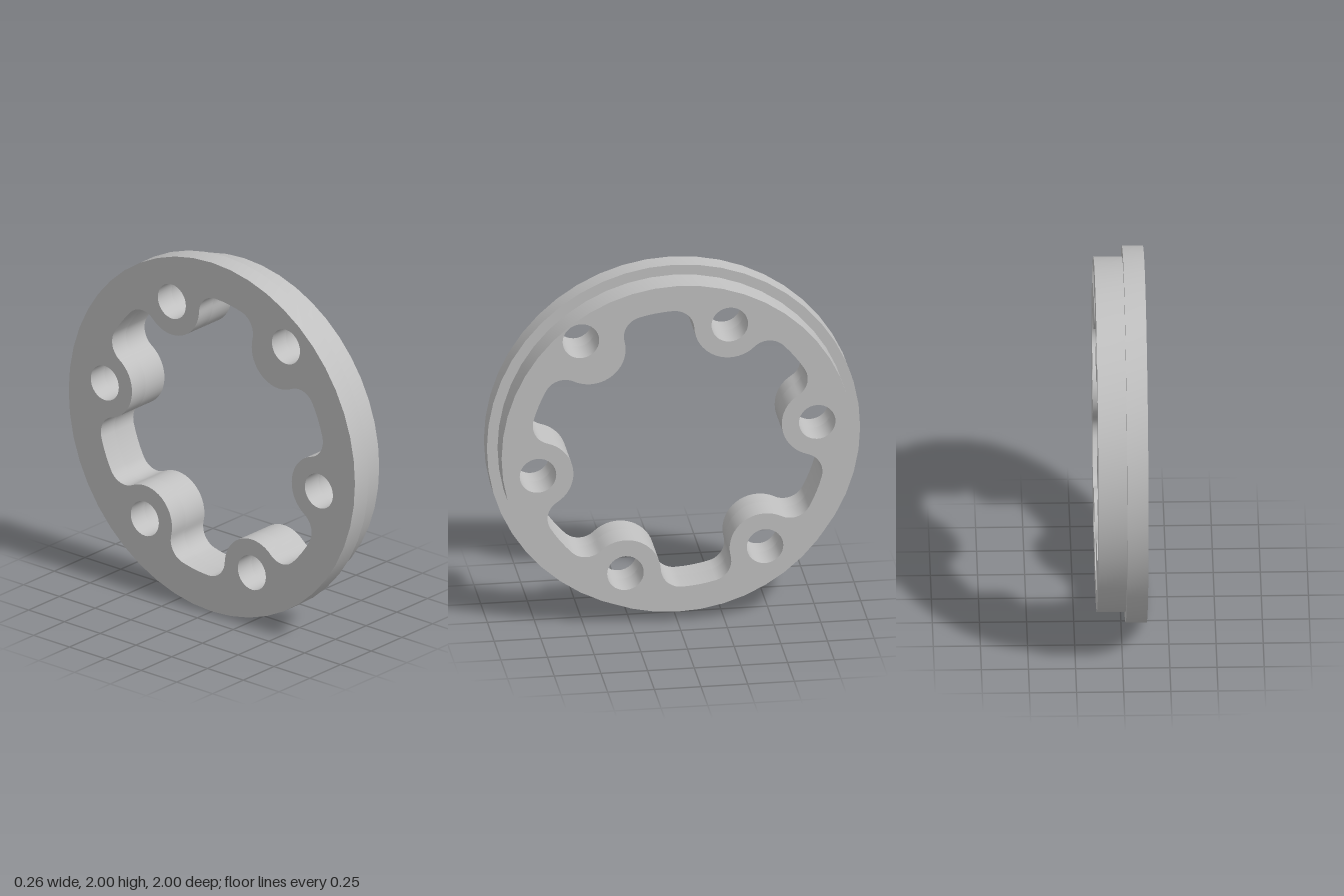
import * as THREE from 'three';
import { toCreasedNormals } from 'three/addons/utils/BufferGeometryUtils.js';

const BOSSES = 6, FIRST = THREE.MathUtils.degToRad(8.3);
const BOSS_DIST = 0.756, BOSS_R = 0.19, FILLET_R = 0.11, BORE_R = 0.8, HOLE_R = 0.098;
const OFFSET_BOSS = 2, OFFSET_DIST = 0.836; // one bolt hole sits further out

const polar = (r, a) => new THREE.Vector2(r * Math.cos(a), r * Math.sin(a));

// Points along an arc, leaving out the last one
function arc(c, r, a0, a1, n) {
  return Array.from({ length: n }, (_, i) => polar(r, a0 + (a1 - a0) * i / n).add(c));
}
const circle = (c, r, n) => arc(c, r, 0, Math.PI * 2, n);

// Bore outline: round bosses blended into the bore wall with fillets
function boreOutline() {
  const f = BORE_R - FILLET_R, g = BOSS_R + FILLET_R;
  const d = Math.acos((BOSS_DIST ** 2 + f ** 2 - g ** 2) / (2 * BOSS_DIST * f));
  const b = Math.atan2(f * Math.sin(d), BOSS_DIST - f * Math.cos(d));
  const step = Math.PI * 2 / BOSSES, origin = new THREE.Vector2();
  const pts = [];
  for (let k = 0; k < BOSSES; k++) {
    const t = FIRST + k * step;
    pts.push(
      ...arc(polar(f, t - d), FILLET_R, t - d, t + b, 10),
      ...arc(polar(BOSS_DIST, t), BOSS_R, t + b + Math.PI, t - b + Math.PI, 18),
      ...arc(polar(f, t + d), FILLET_R, t - b, t + d, 10),
      ...arc(origin, BORE_R, t + d, t + step - d, 4));
  }
  return pts;
}

// A disc with the bore and bolt holes, running along x from x0 to x1
function plate(name, radius, x0, x1, material) {
  const shape = new THREE.Shape(circle(new THREE.Vector2(), radius, 48));
  shape.holes.push(new THREE.Path(boreOutline()));
  for (let k = 0; k < BOSSES; k++) {
    const dist = k === OFFSET_BOSS ? OFFSET_DIST : BOSS_DIST;
    const centre = polar(dist, FIRST + k * Math.PI * 2 / BOSSES);
    shape.holes.push(new THREE.Path(circle(centre, HOLE_R, 32)));
  }
  let geo = new THREE.ExtrudeGeometry(shape, { depth: x1 - x0, bevelEnabled: false });
  geo = toCreasedNormals(geo, 0.6);
  geo.clearGroups();
  geo.rotateY(Math.PI / 2).translate(x0, 1, 0);
  const mesh = new THREE.Mesh(geo, material);
  mesh.name = name;
  return mesh;
}

export function createModel() {
  const metal = new THREE.MeshStandardMaterial({ color: 0xc0c0c0 });
  metal.name = 'grey metal';
  const group = new THREE.Group();
  group.name = 'boltedSpacerRing';
  group.add(
    plate('flange', 1, -0.132, -0.02, metal),
    plate('body', 0.943, -0.02, 0.132, metal));
  return group;
}
